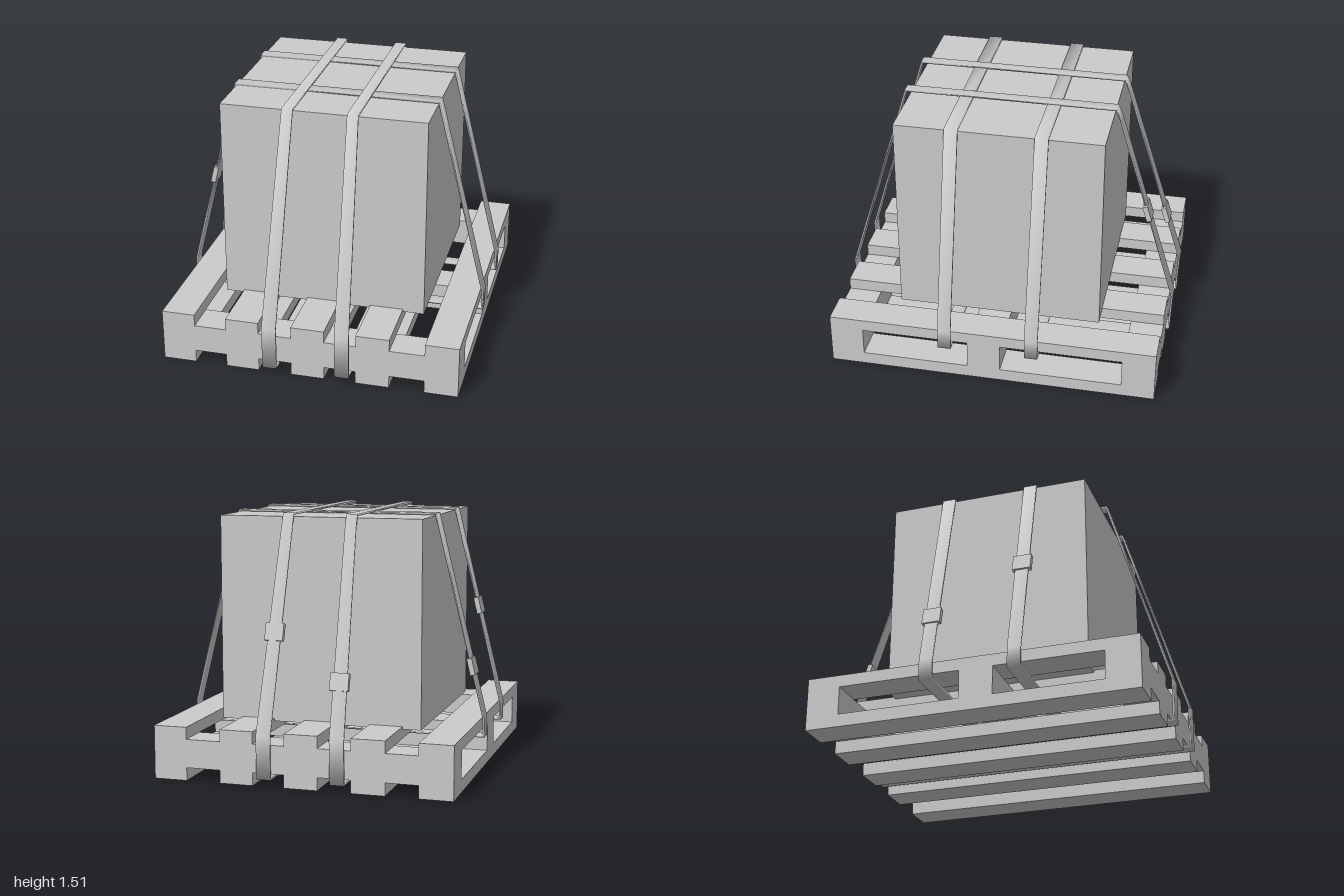
import * as THREE from 'three';

const material = new THREE.MeshStandardMaterial({ color: 0xcccccc });

function addBox(parent, name, [x0, x1], [y0, y1], [z0, z1]) {
  const mesh = new THREE.Mesh(new THREE.BoxGeometry(x1 - x0, y1 - y0, z1 - z0), material);
  mesh.position.set((x0 + x1) / 2, (y0 + y1) / 2, (z0 + z1) / 2);
  mesh.name = name;
  parent.add(mesh);
  return mesh;
}

// Closed flat band. Points run counter-clockwise: [u, y, sideways centre, half width]
function bandGeometry(points, thickness) {
  const n = points.length, pos = [], index = [];
  const edgeNormal = (a, b) => new THREE.Vector2(b[1] - a[1], a[0] - b[0]).normalize();
  points.forEach((p, i) => {
    const n0 = edgeNormal(points[(i + n - 1) % n], p);
    const n1 = edgeNormal(p, points[(i + 1) % n]);
    const m = n0.clone().add(n1).normalize();
    m.multiplyScalar(thickness / 2 / m.dot(n1));
    for (const [s, w] of [[1, 1], [1, -1], [-1, -1], [-1, 1]]) {
      pos.push(p[0] + s * m.x, p[1] + s * m.y, p[2] + w * p[3]);
    }
    const a = i * 4, b = ((i + 1) % n) * 4;
    for (let k = 0; k < 4; k++) {
      const l = (k + 1) % 4;
      index.push(a + k, a + l, b + l, a + k, b + l, b + k);
    }
  });
  const geo = new THREE.BufferGeometry();
  geo.setAttribute('position', new THREE.Float32BufferAttribute(pos, 3));
  geo.setIndex(index);
  geo.computeVertexNormals();
  return geo;
}

// Strap with its buckle, running along local x
function makeStrap(name, points, buckle) {
  const group = new THREE.Group();
  group.name = name;
  const band = new THREE.Mesh(bandGeometry(points, 0.012), material);
  band.name = 'strapBand';
  const clip = new THREE.Mesh(new THREE.BoxGeometry(0.03, 0.1, 0.108), material);
  clip.name = 'buckle';
  clip.position.set(buckle.u, buckle.y, buckle.v);
  clip.rotation.z = -buckle.tilt;
  group.add(band, clip);
  return group;
}

export function createModel() {
  const model = new THREE.Group();
  model.name = 'strappedPalletLoad';

  // Pallet: cross bearers between upper and lower boards
  const pallet = new THREE.Group();
  pallet.name = 'pallet';
  model.add(pallet);
  for (const z of [[0.765, 0.962], [-0.06, 0.135], [-0.97, -0.775]]) {
    addBox(pallet, 'bearer', [-0.875, 0.875], [0.075, 0.24], z);
  }
  for (const x of [-0.777, -0.393, -0.003, 0.378, 0.777]) {
    const span = [x - 0.098, x + 0.098];
    addBox(pallet, 'topBoard', span, [0.24, 0.31], [-0.97, 0.962]);
    addBox(pallet, 'bottomBoard', span, [0, 0.075], [-0.97, 0.962]);
  }

  // Load
  addBox(model, 'crate', [-0.6, 0.6], [0.295, 1.49], [-0.6, 0.6]);

  // Straps across the width, passing through the pallet openings
  for (const [z, u, y] of [[0.265, -0.75, 0.91], [-0.248, -0.82, 0.62]]) {
    const path = [[-0.895, 0.21], [0.895, 0.21], [0.895, 0.32], [0.603, 1.498], [-0.603, 1.498], [-0.895, 0.32]]
      .map(p => [...p, z, 0.039]);
    model.add(makeStrap('crossStrap', path, { u, y, v: z, tilt: 0.24 }));
  }

  // Straps front to back, under the bearers, tapering slightly upward
  for (const [top, low, mid, u, y] of [[-0.195, -0.221, -0.21, -0.893, 0.605], [0.181, 0.207, 0.195, -0.815, 0.855]]) {
    const path = [[-0.985, 0.05], [0.99, 0.05], [0.993, 0.3], [0.628, 1.506], [-0.608, 1.506], [-0.635, 1.44], [-0.993, 0.29]]
      .map(([a, b]) => b < 1 ? [a, b, -low, 0.042] : [a, b, -top, 0.032]);
    const strap = makeStrap('lengthStrap', path, { u, y, v: -mid, tilt: 0.3 });
    strap.rotation.y = -Math.PI / 2;
    model.add(strap);
  }

  return model;
}
